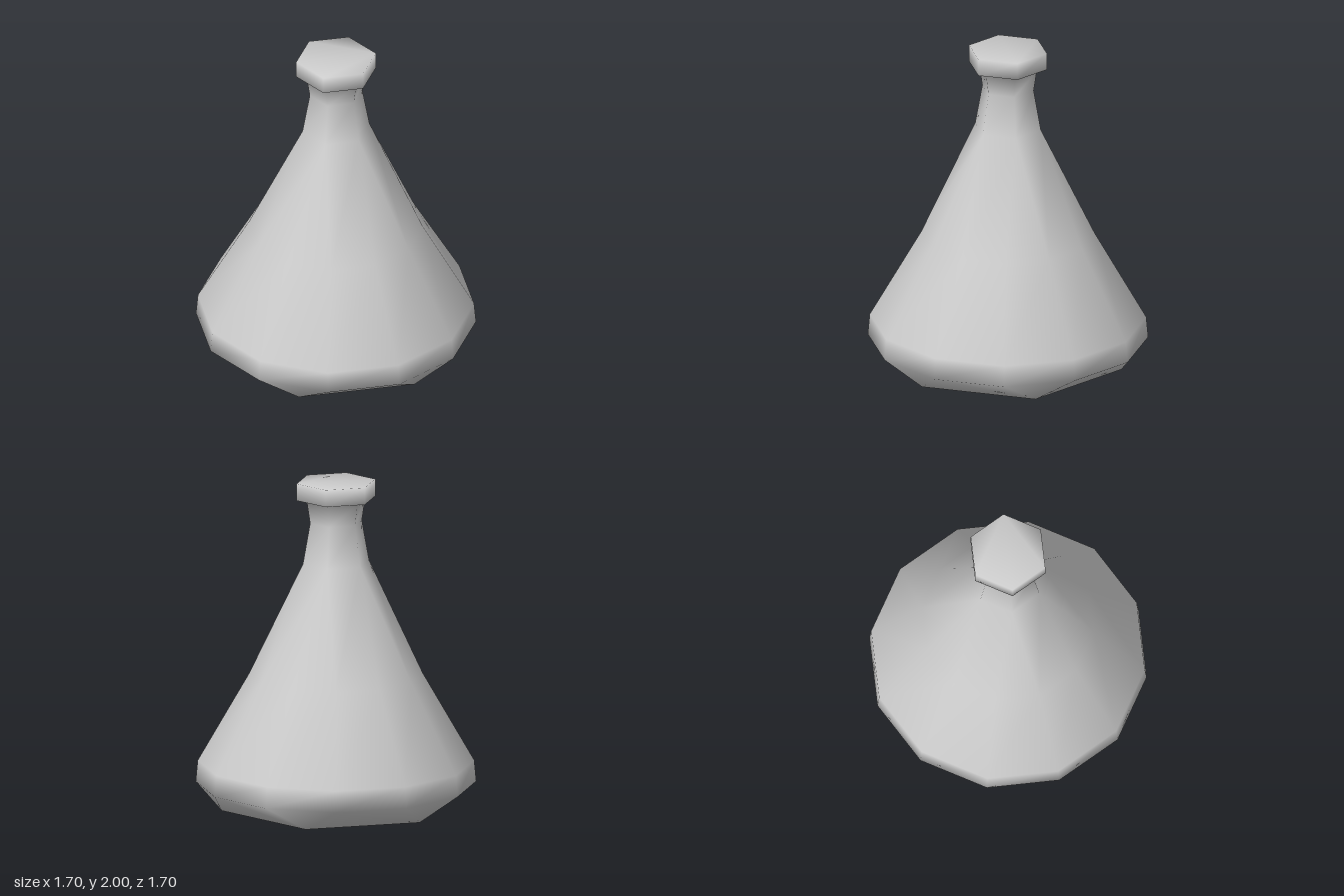
import * as THREE from 'three';

// Each ring: height, radius, number of sides, starting angle in degrees
const RINGS = [
  [0, 0.715, 6, 15],     // base
  [0.14, 0.848, 12, 0],  // widest point
  [0.27, 0.836, 12, 0],  // shoulder
  [0.81, 0.525, 12, 0],  // cone
  [1.5, 0.207, 6, 15],   // bottom of neck
  [1.75, 0.162, 6, 15],  // narrowest point
  [1.88, 0.182, 6, 15],  // top of neck
  [1.895, 0.246, 6, 15], // underside of lip
  [2, 0.246, 6, 15],     // top of lip
];

// Joins rings of any side counts by stepping round both in order of angle
function bridge(index, a, b) {
  const angle = (r, k) => r.start + (k * 360) / r.sides;
  const id = (r, k) => r.first + (k % r.sides);
  let i = 0, j = 0;
  while (i < a.sides || j < b.sides) {
    const stepA = j === b.sides || (i < a.sides && angle(a, i + 1) <= angle(b, j + 1));
    if (stepA) {
      index.push(id(a, i), id(b, j), id(a, i + 1));
      i++;
    } else {
      index.push(id(a, i), id(b, j), id(b, j + 1));
      j++;
    }
  }
}

function flaskGeometry() {
  const positions = [];
  const index = [];
  const rings = RINGS.map(([y, radius, sides, start]) => {
    const first = positions.length / 3;
    for (let k = 0; k < sides; k++) {
      const t = THREE.MathUtils.degToRad(start + (k * 360) / sides);
      positions.push(radius * Math.cos(t), y, radius * Math.sin(t));
    }
    return { first, sides, start };
  });
  for (let r = 0; r + 1 < rings.length; r++) bridge(index, rings[r], rings[r + 1]);

  // Closed base and closed top
  const base = rings[0], top = rings[rings.length - 1];
  for (let k = 1; k + 1 < base.sides; k++) index.push(base.first, base.first + k, base.first + k + 1);
  for (let k = 1; k + 1 < top.sides; k++) index.push(top.first, top.first + k + 1, top.first + k);

  const geometry = new THREE.BufferGeometry();
  geometry.setAttribute('position', new THREE.Float32BufferAttribute(positions, 3));
  geometry.setIndex(index);
  geometry.computeVertexNormals();
  return geometry;
}

export function createModel() {
  const group = new THREE.Group();
  group.name = 'flask';
  const body = new THREE.Mesh(flaskGeometry(), new THREE.MeshStandardMaterial({ color: 0xcccccc }));
  body.name = 'flaskBody';
  group.add(body);
  return group;
}
